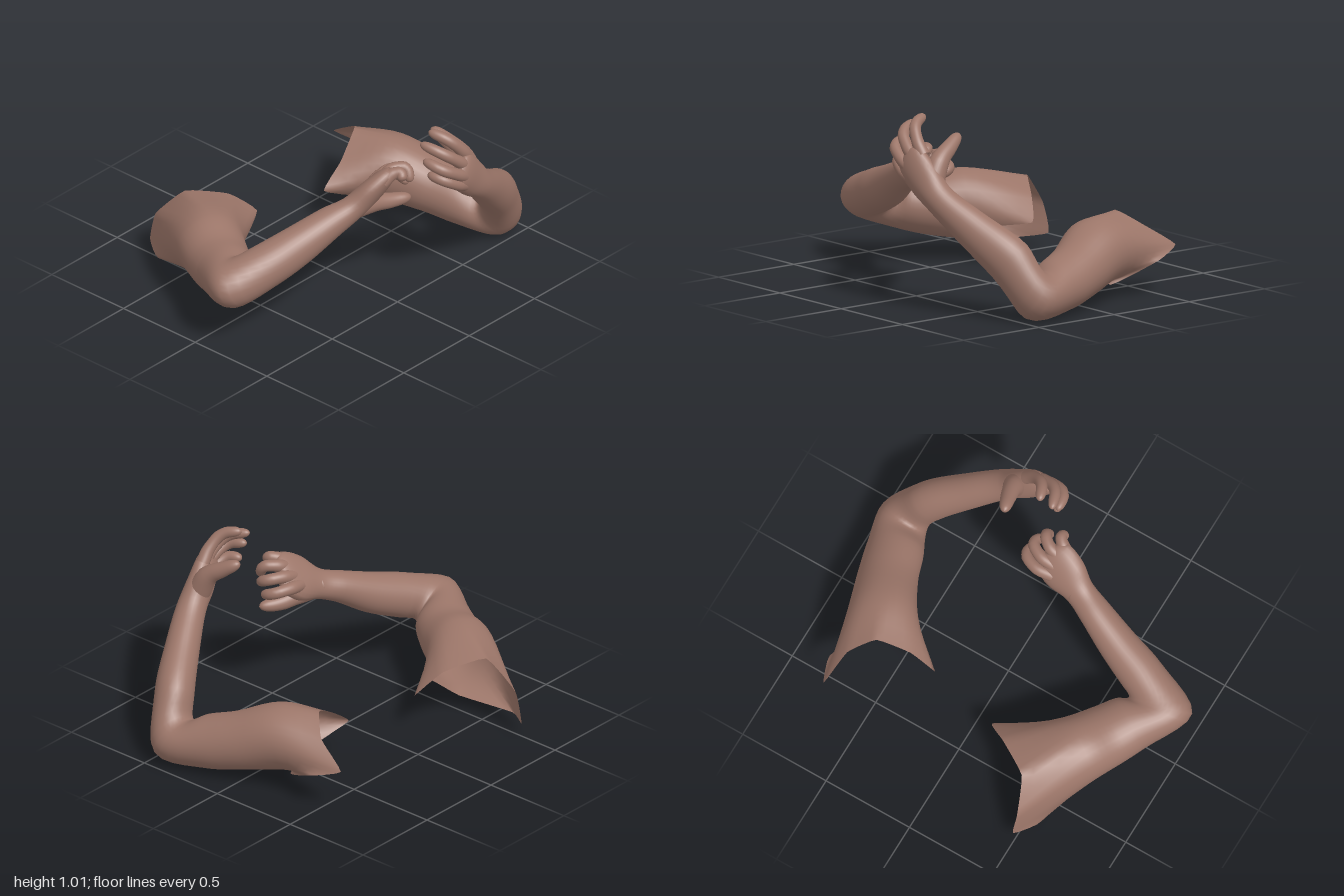
import * as THREE from 'three';

const skin = new THREE.MeshStandardMaterial({ color: 0x9c7669, side: THREE.DoubleSide });
skin.name = 'skin brown';
const SIDES = 32;
const vec = (p) => new THREE.Vector3(p[0], p[1], p[2]);

// Points of an elliptical ring: [x, y, z, sideRadius, upRadius, roll], square to direction t
function ringPoints([x, y, z, a, b = a, roll = 0], t) {
  const u = new THREE.Vector3().crossVectors(t, new THREE.Vector3(0, 1, 0)).normalize();
  const v = new THREE.Vector3().crossVectors(u, t).normalize();
  const pts = [];
  for (let j = 0; j < SIDES; j++) {
    const ang = (j / SIDES) * Math.PI * 2;
    const r = (a * b) / Math.hypot(b * Math.cos(ang - roll), a * Math.sin(ang - roll));
    pts.push(new THREE.Vector3(x, y, z)
      .addScaledVector(u, r * Math.cos(ang))
      .addScaledVector(v, r * Math.sin(ang)));
  }
  return pts;
}

// Smooth skin over a row of rings, optionally starting from a free-form open edge
function loft(name, rings, opening, steps = 5) {
  const centers = rings.map(vec);
  const loops = rings.map((ring, i) => {
    const t = new THREE.Vector3();
    if (i > 0) t.add(centers[i].clone().sub(centers[i - 1]).normalize());
    if (i < rings.length - 1) t.add(centers[i + 1].clone().sub(centers[i]).normalize());
    return ringPoints(ring, t.normalize());
  });
  if (opening) {
    const edge = new THREE.CatmullRomCurve3(opening.map(vec), true, 'catmullrom', 0.2);
    loops.unshift(Array.from({ length: SIDES }, (_, j) => edge.getPoint(j / SIDES)));
  }
  const rows = (loops.length - 1) * steps;
  const strands = [];
  for (let j = 0; j < SIDES; j++) {
    strands.push(new THREE.CatmullRomCurve3(loops.map((l) => l[j])));
  }
  const pos = [], idx = [];
  for (let i = 0; i <= rows; i++) {
    for (let j = 0; j < SIDES; j++) {
      const p = strands[j].getPoint(i / rows);
      pos.push(p.x, p.y, p.z);
      if (i < rows) {
        const k = (j + 1) % SIDES, a = i * SIDES, b = a + SIDES;
        idx.push(a + j, b + j, a + k, a + k, b + j, b + k);
      }
    }
  }
  const geo = new THREE.BufferGeometry();
  geo.setAttribute('position', new THREE.Float32BufferAttribute(pos, 3));
  geo.setIndex(idx);
  geo.computeVertexNormals();
  const mesh = new THREE.Mesh(geo, skin);
  mesh.name = name;
  return mesh;
}

// Tapered finger along a bent path with a rounded tip
function finger(name, path, r0, r1) {
  const curve = new THREE.CatmullRomCurve3(path.map(vec));
  const stops = [0, 0.15, 0.3, 0.45, 0.6, 0.75, 0.87, 0.95, 0.985, 1];
  const round = [1, 1, 1, 0.96, 1, 1, 0.97, 0.75, 0.42, 0.05];
  const rings = stops.map((s, i) => {
    const p = curve.getPoint(s);
    return [p.x, p.y, p.z, (r0 + (r1 - r0) * s) * round[i]];
  });
  return loft(name, rings, null, 2);
}

function arm(name, spec) {
  const group = new THREE.Group();
  group.name = name;
  group.add(loft('armAndPalm', spec.rings, spec.opening));
  for (const [part, path] of Object.entries(spec.fingers)) {
    const thumb = part === 'thumb';
    group.add(finger(part, path, thumb ? 0.065 : 0.036, thumb ? 0.028 : 0.027));
  }
  return group;
}

// Arm on the +z side: shoulder edge, then upper arm, elbow, forearm, wrist, palm
const frontArm = {
  opening: [
    [-0.78, 0.08, 0.49], [-0.74, 0.25, 0.49], [-0.59, 0.42, 0.43], [-0.46, 0.37, 0.24],
    [-0.37, 0.25, 0.12], [-0.25, 0.2, 0.37], [-0.34, 0.085, 0.5], [-0.64, 0.06, 0.58],
  ],
  rings: [
    [-0.28, 0.29, 0.58, 0.182, 0.185],
    [-0.12, 0.288, 0.68, 0.163, 0.155],
    [-0.02, 0.305, 0.745, 0.15, 0.142],
    [0.13, 0.343, 0.834, 0.17, 0.124],
    [0.205, 0.405, 0.68, 0.115, 0.118],
    [0.265, 0.473, 0.5, 0.102, 0.107],
    [0.33, 0.56, 0.32, 0.085, 0.082],
    [0.37, 0.605, 0.21, 0.082, 0.066, 0.75],
    [0.4, 0.67, 0.1, 0.125, 0.06, 0.8],
    [0.428, 0.733, 0.01, 0.118, 0.045, 0.8],
    [0.432, 0.75, -0.02, 0.085, 0.026, 0.8],
    [0.434, 0.754, -0.028, 0.003, 0.002, 0.8],
  ],
  fingers: {
    thumb: [[0.365, 0.605, 0.2], [0.39, 0.59, 0.08], [0.425, 0.57, -0.03], [0.475, 0.57, -0.13]],
    indexFinger: [[0.36, 0.665, 0.05], [0.345, 0.685, -0.04], [0.385, 0.675, -0.12], [0.46, 0.645, -0.125]],
    middleFinger: [[0.395, 0.71, 0.04], [0.395, 0.735, -0.04], [0.44, 0.73, -0.11], [0.51, 0.69, -0.095]],
    ringFinger: [[0.44, 0.745, 0.05], [0.45, 0.775, -0.02], [0.495, 0.775, -0.07], [0.535, 0.71, -0.06]],
    littleFinger: [[0.47, 0.745, 0.08], [0.495, 0.785, 0.03], [0.525, 0.79, 0.005], [0.555, 0.76, 0.02]],
  },
};

// Arm on the -z side, bent upward at the elbow
const backArm = {
  opening: [
    [-0.27, 0.23, -0.28], [-0.28, 0.34, -0.42], [-0.34, 0.44, -0.59], [-0.45, 0.36, -0.7],
    [-0.62, 0.245, -0.74], [-0.46, 0.19, -0.8], [-0.23, 0.075, -0.69], [-0.2, 0.14, -0.48],
  ],
  rings: [
    [-0.16, 0.26, -0.66, 0.187, 0.175],
    [0.06, 0.195, -0.76, 0.158, 0.152],
    [0.23, 0.152, -0.815, 0.15, 0.138],
    [0.41, 0.132, -0.865, 0.135, 0.128],
    [0.5, 0.31, -0.765, 0.103, 0.125],
    [0.61, 0.475, -0.575, 0.09, 0.1],
    [0.688, 0.61, -0.415, 0.077, 0.082],
    [0.708, 0.695, -0.325, 0.068, 0.098],
    [0.732, 0.785, -0.235, 0.045, 0.098],
    [0.733, 0.805, -0.21, 0.024, 0.068],
    [0.732, 0.81, -0.204, 0.002, 0.003],
  ],
  fingers: {
    thumb: [[0.69, 0.68, -0.36], [0.63, 0.79, -0.35], [0.55, 0.845, -0.33], [0.46, 0.9, -0.3]],
    indexFinger: [[0.705, 0.82, -0.31], [0.705, 0.88, -0.265], [0.67, 0.955, -0.2], [0.575, 0.99, -0.155]],
    middleFinger: [[0.725, 0.79, -0.28], [0.73, 0.84, -0.22], [0.695, 0.91, -0.135], [0.58, 0.95, -0.085]],
    ringFinger: [[0.74, 0.74, -0.26], [0.75, 0.785, -0.19], [0.72, 0.84, -0.1], [0.615, 0.87, -0.07]],
    littleFinger: [[0.735, 0.69, -0.26], [0.745, 0.725, -0.19], [0.715, 0.77, -0.115], [0.63, 0.785, -0.09]],
  },
};

export function createModel() {
  const model = new THREE.Group();
  model.name = 'pairOfArms';
  model.add(arm('rightArm', frontArm), arm('leftArm', backArm));
  return model;
}
